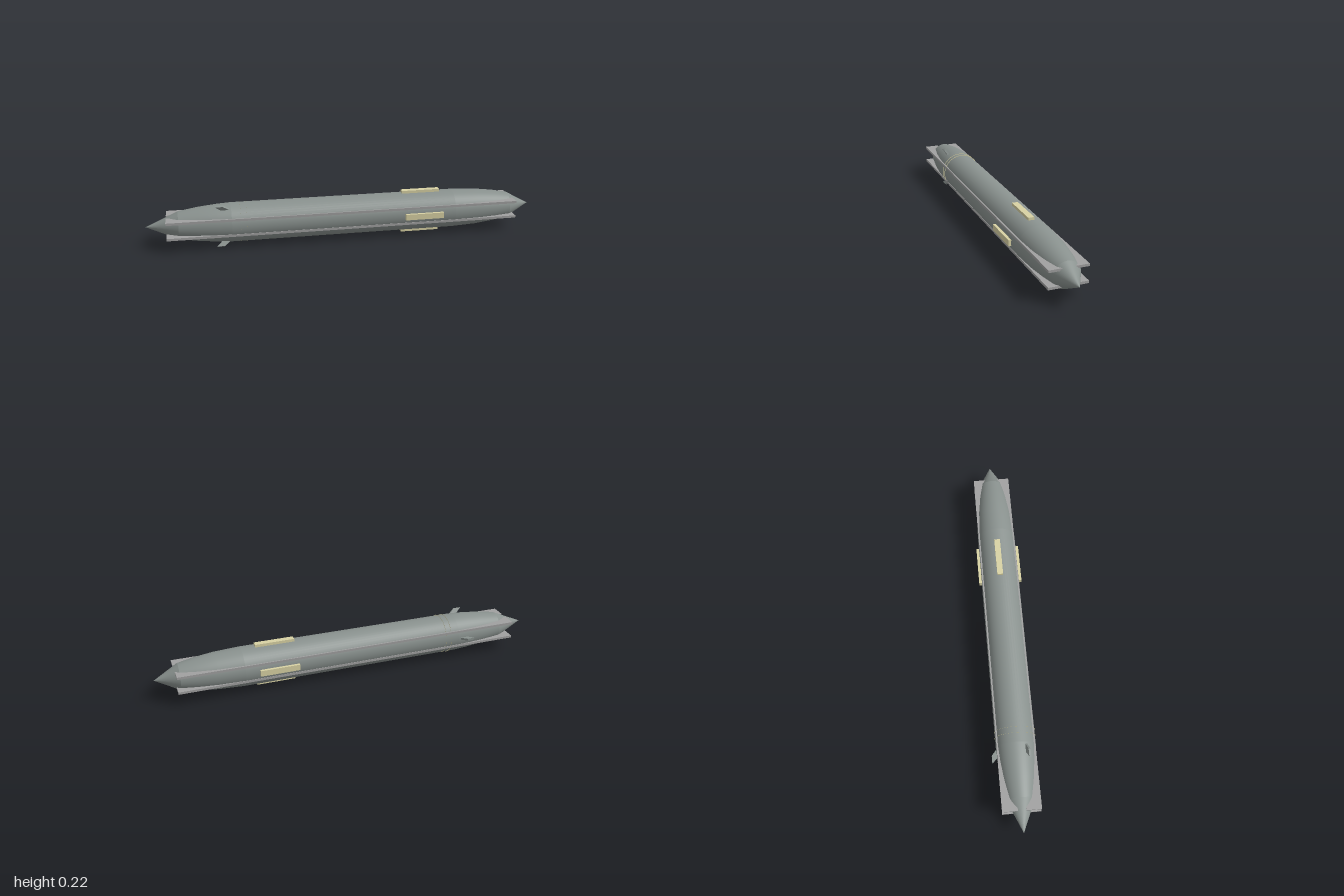
import * as THREE from 'three';

const CY = 0.112, CZ = 0.005; // long axis of the hull

export function createModel() {
  const hullGray = new THREE.MeshStandardMaterial({ color: 0x89918e });
  hullGray.name = 'hullGray';
  const finGray = new THREE.MeshStandardMaterial({ color: 0xa0a0a0 });
  finGray.name = 'finGray';
  const paleYellow = new THREE.MeshStandardMaterial({ color: 0xd8d2a4, side: THREE.DoubleSide });
  paleYellow.name = 'paleYellow';

  const model = new THREE.Group();
  model.name = 'torpedo';
  const axis = new THREE.Group();
  axis.name = 'hullAxis';
  axis.position.set(0, CY, CZ);
  model.add(axis);

  const add = (name, geometry, material, parent = axis) => {
    const mesh = new THREE.Mesh(geometry, material);
    mesh.name = name;
    parent.add(mesh);
    return mesh;
  };
  // Solid of revolution about x from [x, radius] pairs
  const turned = (name, profile) => {
    const geo = new THREE.LatheGeometry(profile.map(([x, r]) => new THREE.Vector2(r, x)), 48);
    geo.rotateZ(-Math.PI / 2);
    return add(name, geo, hullGray);
  };

  // Hull with pointed ends, split where the edges are sharp
  turned('tailCone', [[-1, 0], [-0.84, 0.07]]);
  turned('tailSection', [[-0.84, 0.07], [-0.74, 0.086], [-0.65, 0.095], [-0.58, 0.099]]);
  turned('midSection', [[-0.58, 0.099], [0.57, 0.099]]);
  turned('noseSection', [[0.57, 0.099], [0.7, 0.093], [0.8, 0.081], [0.88, 0.066]]);
  turned('noseCone', [[0.88, 0.066], [1, 0]]);

  // Pair of thin flat rings standing round the rear
  const ringGeo = new THREE.RingGeometry(0.097, 0.102, 48);
  ringGeo.rotateY(Math.PI / 2);
  for (const x of [-0.535, -0.505]) {
    add('rearRing', ringGeo, paleYellow).position.x = x;
  }

  // Long side strakes, two on each side
  for (const side of [1, -1]) {
    for (const level of [1, -1]) {
      const strake = add('strake', new THREE.BoxGeometry(1.8, 0.012, 0.075), finGray);
      strake.position.set(0, level * 0.04, side * 0.0575);
    }
  }

  // Four guide pads near the nose
  for (let i = 0; i < 4; i++) {
    const holder = new THREE.Group();
    holder.name = 'guidePad';
    holder.rotation.x = (i * Math.PI) / 2;
    axis.add(holder);
    const pad = add('pad', new THREE.BoxGeometry(0.2, 0.017, 0.03), paleYellow, holder);
    pad.position.set(0.4, 0.1035, 0);
  }

  // Three small swept fins round the tail
  const blade = new THREE.Shape([
    [-0.575, 0.085], [-0.62, 0.122], [-0.658, 0.122], [-0.62, 0.085],
  ].map(([x, y]) => new THREE.Vector2(x, y)));
  const bladeGeo = new THREE.ExtrudeGeometry(blade, { depth: 0.011, bevelEnabled: false });
  bladeGeo.translate(0, 0, -0.0055);
  for (let i = 0; i < 3; i++) {
    add('tailFin', bladeGeo, hullGray).rotation.x = -Math.PI / 2 + (i * Math.PI * 2) / 3;
  }

  return model;
}
